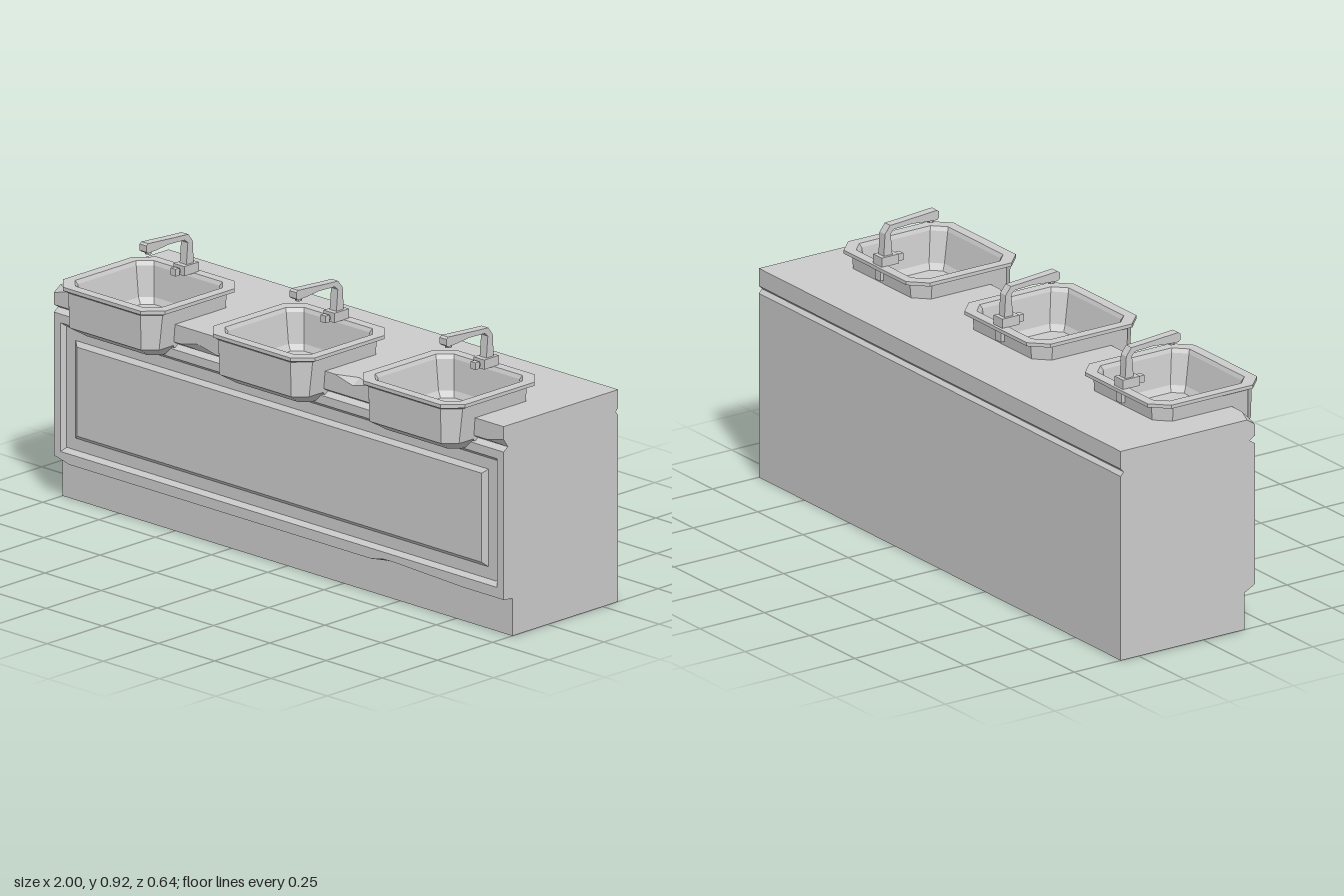
import * as THREE from 'three';

const material = new THREE.MeshStandardMaterial({ color: 0xcccccc, flatShading: true });
const V = (x, y, z) => new THREE.Vector3(x, y, z);

// Joins closed rings of points into a flat-shaded skin; edge `skip` is left open.
function loft(rings, skip = -1, extra = []) {
  const pts = [];
  for (let r = 0; r < rings.length - 1; r++) {
    const s = rings[r], t = rings[r + 1], n = s.length;
    for (let i = 0; i < n; i++) {
      if (i === skip) continue;
      const j = (i + 1) % n;
      pts.push(s[i], s[j], t[j], s[i], t[j], t[i]);
    }
  }
  const g = new THREE.BufferGeometry().setFromPoints(pts.concat(extra));
  g.computeVertexNormals();
  return g;
}

function add(parent, name, geometry, x = 0, y = 0, z = 0) {
  const m = new THREE.Mesh(geometry, material);
  m.name = name;
  m.position.set(x, y, z);
  parent.add(m);
  return m;
}

const basinX = [-0.667, 0, 0.667];
// Worn spots along the edges: centre and half-width
const topChips = [[-1, 0.07], [0.33, 0.08]];
const lipChips = [[-0.36, 0.08], [1, 0.07]];
const toeChips = [[0.49, 0.08], [-1, 0.07]];
const wear = (x, chips) => Math.max(0, ...chips.map(([c, w]) => 1 - Math.abs(x - c) / w));

// Cabinet cross-section at x; `back` is the rear limit of a basin cut-out, if any
function section(x, back) {
  const top = wear(x, topChips), lip = wear(x, lipChips), toe = wear(x, toeChips);
  const cut = back !== undefined;
  const zc = cut ? back : -0.06;
  const Y = y => (cut ? Math.min(y, 0.63) : y);
  return [
    [-0.32, 0], [0.16, 0], [0.16, 0.125], [0.2, 0.13 + 0.016 * toe],
    [0.2, 0.15], [0.2, 0.61],
    [0.2, 0.625], [0.18, Y(0.638)], [0.2, Y(0.65 + 0.017 * lip)],
    [0.2, Y(0.71 - 0.02 * top)], [0.2 - 0.03 * top, Y(0.71)],
    [zc, Y(0.71)], [zc, 0.71],
    [-0.32, 0.71], [-0.32, 0.65], [-0.308, 0.638], [-0.32, 0.625],
  ].map(([z, y]) => V(x, y, z));
}

function cabinetGeometry() {
  const stations = [];
  for (const [c, w] of [...topChips, ...lipChips, ...toeChips])
    for (const x of [c - w, c, c + w])
      if (Math.abs(x) <= 1 && !basinX.some(b => Math.abs(x - b) < 0.2)) stations.push([x]);
  for (const b of basinX)
    stations.push([b + 0.2001], [b + 0.2, -0.03], [b + 0.155, -0.074],
      [b - 0.155, -0.074], [b - 0.2, -0.03], [b - 0.2001]);
  stations.sort((a, b) => b[0] - a[0]);
  const rings = stations.map(([x, back]) => section(x, back));
  // End caps
  const caps = [];
  for (const [ring, flip] of [[rings[0], true], [rings[rings.length - 1], false]]) {
    const flat = ring.map(p => new THREE.Vector2(p.z, p.y));
    for (const [a, b, c] of THREE.ShapeUtils.triangulateShape(flat, []))
      caps.push(ring[a], ring[flip ? c : b], ring[flip ? b : c]);
  }
  return loft(rings, 4, caps);
}

// Moulded front: nested rectangles, half-width, bottom, top, depth
function frontPanelGeometry() {
  const rings = [
    [1, 0.15, 0.61, 0.2], [0.97, 0.165, 0.596, 0.2], [0.958, 0.178, 0.583, 0.184],
    [0.918, 0.218, 0.545, 0.184], [0.9, 0.232, 0.53, 0.197], [0, 0.38, 0.38, 0.197],
  ].map(([h, y0, y1, z]) => [V(-h, y0, z), V(h, y0, z), V(h, y1, z), V(-h, y1, z)]);
  return loft(rings);
}

// Rectangle with cut corners
function octagon([h, z0, z1, c, y]) {
  return [
    [-h + c, z1], [h - c, z1], [h, z1 - c], [h, z0 + c],
    [h - c, z0], [-h + c, z0], [-h, z0 + c], [-h, z1 - c],
  ].map(([x, z]) => V(x, y, z));
}

function basinGeometry() {
  return loft([
    [0, 0.1, 0.1, 0, 0.602],
    [0.165, -0.03, 0.25, 0.03, 0.602],      // underside
    [0.2, -0.07, 0.306, 0.04, 0.638],
    [0.21, -0.08, 0.31, 0.05, 0.755],       // outer wall
    [0.222, -0.1, 0.318, 0.055, 0.761],
    [0.227, -0.104, 0.322, 0.055, 0.763],   // rim
    [0.227, -0.104, 0.322, 0.055, 0.775],
    [0.192, -0.07, 0.287, 0.04, 0.775],
    [0.186, -0.064, 0.281, 0.04, 0.762],    // inner wall
    [0.172, -0.055, 0.262, 0.035, 0.66],
    [0.158, -0.045, 0.25, 0.03, 0.64],
    [0, 0.02, 0.02, 0, 0.638],              // floor
  ].map(octagon));
}

function spoutGeometry() {
  const outline = [
    [-0.08, 0.8], [-0.046, 0.8], [-0.053, 0.878], [-0.04, 0.89], [0.03, 0.893],
    [0.09, 0.887], [0.127, 0.885], [0.135, 0.891], [0.135, 0.912], [0.127, 0.918],
    [0, 0.909], [-0.055, 0.906], [-0.075, 0.88],
  ].map(([z, y]) => new THREE.Vector2(-z, y));
  const g = new THREE.ExtrudeGeometry(new THREE.Shape(outline), { depth: 0.03, bevelEnabled: false });
  // Turn the outline so it runs along z
  return g.translate(0, 0, -0.015).rotateY(Math.PI / 2);
}

function createTap() {
  const tap = new THREE.Group();
  tap.name = 'tap';
  add(tap, 'tapBase', new THREE.BoxGeometry(0.048, 0.032, 0.066), 0, 0.79, -0.061);
  add(tap, 'tapSpout', spoutGeometry());
  add(tap, 'tapNozzle', new THREE.CylinderGeometry(0.011, 0.011, 0.012, 8), 0, 0.883, 0.111);
  add(tap, 'supplyStub', new THREE.BoxGeometry(0.03, 0.055, 0.013), 0, 0.752, -0.087);
  add(tap, 'valveStem', new THREE.CylinderGeometry(0.008, 0.008, 0.02, 8).rotateX(Math.PI / 2), 0, 0.787, -0.022);
  add(tap, 'valveKnob', new THREE.BoxGeometry(0.022, 0.024, 0.017), 0, 0.788, -0.01);
  return tap;
}

export function createModel() {
  const model = new THREE.Group();
  model.name = 'triple sink counter';
  add(model, 'cabinet', cabinetGeometry());
  add(model, 'frontPanel', frontPanelGeometry());

  const bowl = basinGeometry();
  const ring = new THREE.TorusGeometry(0.019, 0.005, 4, 10).rotateX(Math.PI / 2);
  const plug = new THREE.CylinderGeometry(0.017, 0.017, 0.004, 10);
  for (const x of basinX) {
    const sink = new THREE.Group();
    sink.name = 'sink';
    sink.position.x = x;
    add(sink, 'basin', bowl);
    add(sink, 'drainRing', ring, 0, 0.641, 0.02);
    add(sink, 'drainPlug', plug, 0, 0.639, 0.02);
    sink.add(createTap());
    model.add(sink);
  }
  return model;
}
